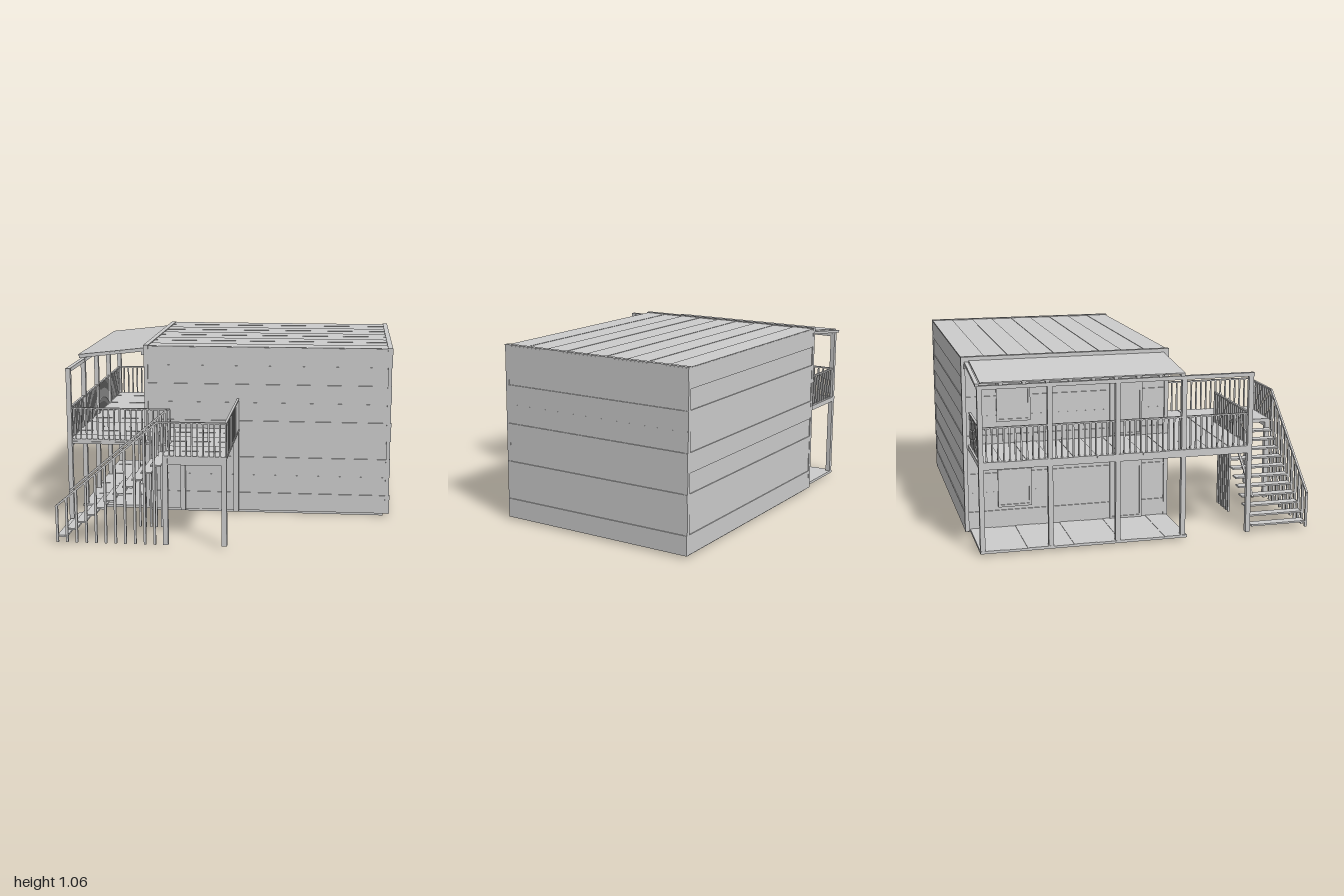
import * as THREE from 'three';

const material = new THREE.MeshStandardMaterial({ color: 0xcccccc, flatShading: true });

export function createModel() {
  const root = new THREE.Group();
  root.name = 'cabinWithBalcony';

  const group = (name) => {
    const g = new THREE.Group();
    g.name = name;
    root.add(g);
    return g;
  };
  // Box given by its lower and upper corners
  const box = (parent, name, x0, x1, y0, y1, z0, z1) => {
    const m = new THREE.Mesh(new THREE.BoxGeometry(x1 - x0, y1 - y0, z1 - z0), material);
    m.position.set((x0 + x1) / 2, (y0 + y1) / 2, (z0 + z1) / 2);
    m.name = name;
    parent.add(m);
  };
  // Square bar between two points
  const bar = (parent, name, a, b, w, h = w) => {
    const p = new THREE.Vector3(...a), q = new THREE.Vector3(...b);
    const m = new THREE.Mesh(new THREE.BoxGeometry(w, h, p.distanceTo(q)), material);
    m.position.copy(p).add(q).multiplyScalar(0.5);
    m.lookAt(q);
    m.name = name;
    parent.add(m);
  };
  const post = (parent, name, x, z, y0, y1, w = 0.026) =>
    box(parent, name, x - w / 2, x + w / 2, y0, y1, z - w / 2, z + w / 2);
  // Boards side by side along z, with hairline seams and slightly uneven tops
  const boards = (parent, name, x0, x1, y0, y1, z0, z1, count) => {
    const step = (z1 - z0) / count;
    for (let i = 0; i < count; i++)
      box(parent, name, x0, x1, y0, y1 - (i % 2) * 0.002, z0 + i * step, z0 + (i + 1) * step - 0.0005);
  };

  // House body: core, uneven plank courses, floor and roof boards
  const house = group('house');
  box(house, 'core', -0.545, 0.965, 0.012, 1.045, -0.99, 0.23);
  const courses = 9, h = 1.04 / courses;
  for (let i = 0; i < courses; i++) {
    const d = [0, 0.004, 0.001, 0.005][i % 4];
    box(house, 'wallPlank', -0.555 + d, 0.978 - d, 0.015 + i * h, 0.015 + (i + 1) * h - 0.001,
      -0.999 + d, 0.239 - d);
  }
  boards(house, 'roofBoard', -0.55, 0.97, 1.04, 1.057, -0.997, 0.236, 9);
  boards(house, 'floorBoard', -0.53, 0.94, 0, 0.02, -0.98, 0.23, 9);
  for (const x of [-0.551, 0.962]) {
    box(house, 'roofTrim', x - 0.015, x + 0.015, 1.03, 1.061, -1, 0.243);
    for (const z of [-0.988, 0.231]) post(house, 'cornerTrim', x, z, 0.015, 1.05, 0.024);
  }

  // Windows and doors on the balcony side, both floors
  const openings = group('sideOpenings');
  const framed = (name, z0, z1, y0, y1) => {
    const t = 0.014, xo = -0.564, xi = -0.545;
    box(openings, name + 'Pane', -0.557, xi, y0, y1, z0, z1);
    box(openings, name + 'Frame', xo, xi, y0, y1, z0, z0 + t);
    box(openings, name + 'Frame', xo, xi, y0, y1, z1 - t, z1);
    box(openings, name + 'Frame', xo, xi, y0, y0 + t, z0 + t, z1 - t);
    box(openings, name + 'Frame', xo, xi, y1 - t, y1, z0 + t, z1 - t);
  };
  for (const y of [0, 0.52]) {
    framed('window', -0.8, -0.6, y + 0.15, y + 0.38);
    framed('door', -0.12, 0.08, y + 0.025, y + 0.43);
  }

  // Decks
  const decks = group('decks');
  boards(decks, 'porchBoard', -0.97, -0.55, 0.012, 0.028, -0.97, 0.24, 9);
  boards(decks, 'balconyBoard', -0.97, -0.55, 0.525, 0.54, -0.97, 0.24, 9);
  boards(decks, 'walkwayBoard', -0.97, -0.335, 0.525, 0.54, 0.24, 0.615, 3);
  boards(decks, 'landingBoard', -0.335, 0.035, 0.525, 0.54, 0.24, 0.998, 6);
  box(decks, 'balconyBeam', -0.965, -0.94, 0.495, 0.525, -0.965, 0.625);
  box(decks, 'backBeam', -0.94, -0.56, 0.511, 0.525, -0.97, -0.945);
  box(decks, 'walkwayBeam', -0.94, -0.335, 0.511, 0.525, 0.6, 0.62);
  for (const x of [-0.32, 0.018])
    box(decks, 'landingSideBeam', x - 0.013, x + 0.013, 0.515, 0.525, 0.27, 0.965);
  for (const z of [0.257, 0.98])
    box(decks, 'landingCrossBeam', -0.305, 0.003, 0.485, 0.525, z - 0.012, z + 0.012);

  // Posts
  const posts = group('posts');
  for (const z of [-0.955, -0.565, -0.175, 0.215, 0.617]) post(posts, 'balconyPost', -0.952, z, 0.012, 0.965, 0.028);
  for (const z of [0.257, 0.98])
    for (const x of [-0.32, 0.018]) post(posts, 'landingPost', x, z, 0.012, 0.525, 0.03);

  // Lean-to roof over the balcony
  const canopy = group('balconyRoof');
  bar(canopy, 'roofSheet', [-0.985, 0.988, -0.372], [-0.558, 1.036, -0.372], 1.165, 0.008);
  box(canopy, 'outerBeam', -0.966, -0.94, 0.948, 0.97, -0.97, 0.635);
  box(canopy, 'wallBeam', -0.585, -0.555, 0.995, 1.02, -0.985, 0.21);
  for (let i = 0; i < 10; i++) {
    const z = -0.97 + i * 0.13;
    bar(canopy, 'rafter', [-0.98, 0.978, z], [-0.558, 1.026, z], 0.022, 0.016);
  }

  // Railings: handrail and evenly spaced balusters
  const railings = group('railings');
  const railing = (x0, z0, x1, z1) => {
    const n = Math.round(Math.hypot(x1 - x0, z1 - z0) / 0.033);
    bar(railings, 'handrail', [x0, 0.73, z0], [x1, 0.73, z1], 0.014, 0.009);
    for (let i = 0; i <= n; i++)
      post(railings, 'baluster', x0 + (x1 - x0) * i / n, z0 + (z1 - z0) * i / n, 0.535, 0.73, 0.009);
  };
  railing(-0.952, -0.955, -0.952, 0.617);
  railing(-0.952, -0.955, -0.565, -0.955);
  railing(-0.952, 0.617, -0.345, 0.617);
  railing(-0.36, 0.99, 0.028, 0.99);
  railing(0.028, 0.25, 0.028, 0.99);

  // Open staircase between sloping handrails
  const stairs = group('stairs');
  for (let i = 0; i < 11; i++) {
    const x = -0.955 + i * 0.055, y = 0.045 + i * 0.043;
    box(stairs, 'tread', x, x + 0.06, y - 0.005, y + 0.005, 0.645, 0.985);
  }
  const railHeight = (x) => 0.222 + (x + 0.96) * 0.85;
  for (const z of [0.645, 0.99])
    bar(stairs, 'stairHandrail', [-0.96, 0.222, z], [-0.36, 0.732, z], 0.012, 0.011);
  // Outer balusters run the whole flight, inner ones only the upper part
  for (let i = 0; i < 11; i++) {
    const x = -0.953 + i * 0.057;
    post(stairs, 'outerBaluster', x, 0.99, 0.012, railHeight(x), 0.014);
  }
  for (let i = 0; i < 7; i++) {
    const x = -0.56 + i * 0.033;
    post(stairs, 'innerBaluster', x, 0.645, 0.012, railHeight(x), 0.012);
  }
  return root;
}
